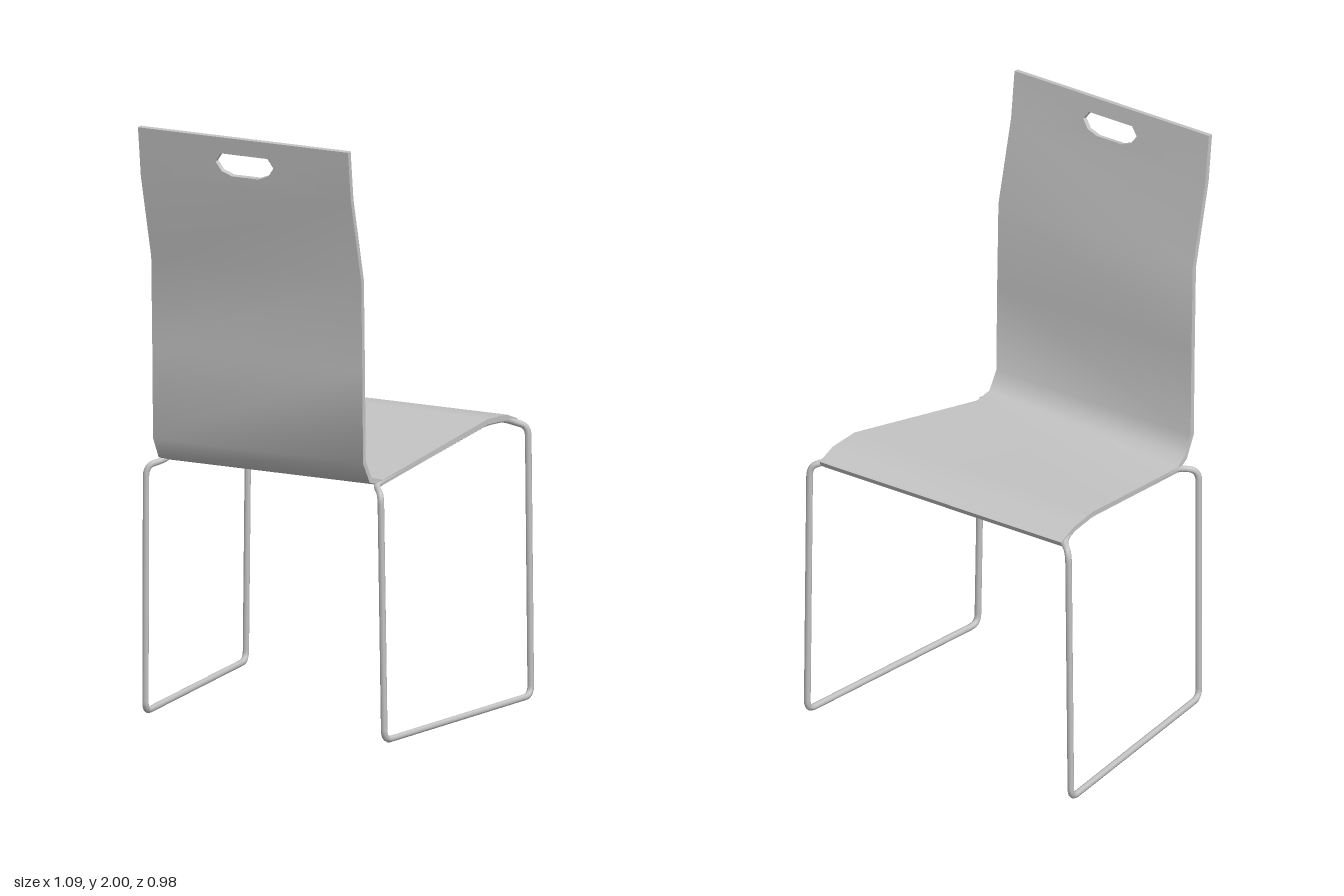
import * as THREE from 'three';
import { mergeGeometries, toCreasedNormals } from 'three/addons/utils/BufferGeometryUtils.js';

// Shell centre line from seat lip to top of backrest: [z, y, half width]
const STATIONS = [
  [-0.47, 0.925, 0.487], [-0.40, 0.951, 0.486], [-0.29, 0.958, 0.48],
  [0.285, 0.858, 0.405], [0.345, 0.877, 0.394], [0.383, 0.943, 0.392],
  [0.388, 1.25, 0.392], [0.395, 1.55, 0.392], [0.465, 1.835, 0.392], [0.484, 2.0, 0.392],
];
const THICKNESS = 0.018;
const LAST = STATIONS.length - 1;

// Mitred offset direction [z, y] at a station
function miter(i) {
  const normal = (a, b) => new THREE.Vector2(b[1] - a[1], -(b[0] - a[0])).normalize();
  const before = normal(STATIONS[Math.max(i - 1, 0)], STATIONS[Math.max(i, 1)]);
  const after = normal(STATIONS[Math.min(i, LAST - 1)], STATIONS[Math.min(i + 1, LAST)]);
  const m = before.clone().add(after).normalize();
  return m.divideScalar(m.dot(after));
}

// One flat panel of the shell, bent into place; the top panel gets the grip hole
function panel(i) {
  const a = STATIONS[i], b = STATIONS[i + 1];
  const shape = new THREE.Shape([[-a[2], 0], [a[2], 0], [b[2], 1], [-b[2], 1]]
    .map(([x, s]) => new THREE.Vector2(x, s)));
  if (i === LAST - 1) {
    const half = [[0.05, 1.871], [0.087, 1.885], [0.108, 1.915], [0.087, 1.945]];
    const rim = [...half, ...half.map(([x, y]) => [-x, y]).reverse()];
    shape.holes.push(new THREE.Path(rim.map(([x, y]) =>
      new THREE.Vector2(x, (y - a[1]) / (b[1] - a[1])))));
  }
  let flat = new THREE.ExtrudeGeometry(shape, { depth: 1, bevelEnabled: false });
  if (flat.index) flat = flat.toNonIndexed();
  const p = flat.attributes.position, n0 = miter(i), n1 = miter(i + 1), out = [];
  for (let t = 0; t < p.count; t += 3) {
    // leave out the walls where panels meet
    const joint = (s) => [0, 1, 2].every((k) => Math.abs(p.getY(t + k) - s) < 1e-6);
    if ((i > 0 && joint(0)) || (i < LAST - 1 && joint(1))) continue;
    for (let k = t; k < t + 3; k++) {
      const s = p.getY(k), d = (p.getZ(k) - 0.5) * THICKNESS;
      const lerp = THREE.MathUtils.lerp;
      out.push(p.getX(k),
        lerp(a[1], b[1], s) + d * lerp(n0.y, n1.y, s),
        lerp(a[0], b[0], s) + d * lerp(n0.x, n1.x, s));
    }
  }
  const g = new THREE.BufferGeometry();
  g.setAttribute('position', new THREE.Float32BufferAttribute(out, 3));
  return g;
}

// Closed path through corner points, each corner rounded by a small bend
function roundedLoop(corners, radius) {
  const path = new THREE.CurvePath();
  const n = corners.length;
  const toward = (p, q) => p.clone().add(q.clone().sub(p)
    .setLength(Math.min(radius, p.distanceTo(q) * 0.45)));
  corners.forEach((p, i) => {
    const prev = corners[(i + n - 1) % n], next = corners[(i + 1) % n];
    path.add(new THREE.QuadraticBezierCurve3(toward(p, prev), p, toward(p, next)));
    path.add(new THREE.LineCurve3(toward(p, next), toward(next, p)));
  });
  return path;
}

export function createModel() {
  const model = new THREE.Group();
  model.name = 'chair';
  const grey = new THREE.MeshStandardMaterial({ color: 0xc4c4c4 });
  grey.name = 'grey';

  // Bent one-piece seat and backrest
  const panels = STATIONS.slice(0, -1).map((_, i) => panel(i));
  const shell = new THREE.Mesh(toCreasedNormals(mergeGeometries(panels), 0.9), grey);
  shell.name = 'seatAndBackrest';
  model.add(shell);

  // Sled legs: a closed tube on each side, running under the seat edge
  for (const [name, side] of [['leftSledLeg', 1], ['rightSledLeg', -1]]) {
    const corners = [
      [0.532, 0.012, -0.48], [0.522, 0.91, -0.48], [0.482, 0.926, -0.452],
      [0.474, 0.945, -0.40], [0.466, 0.952, -0.29], [0.393, 0.853, 0.31],
      [0.438, 0.837, 0.356], [0.446, 0.012, 0.346],
    ].map(([x, y, z]) => new THREE.Vector3(side * x, y, z));
    const tube = new THREE.TubeGeometry(roundedLoop(corners, 0.035), 320, 0.011, 8, true);
    const leg = new THREE.Mesh(tube, grey);
    leg.name = name;
    model.add(leg);
  }
  return model;
}
